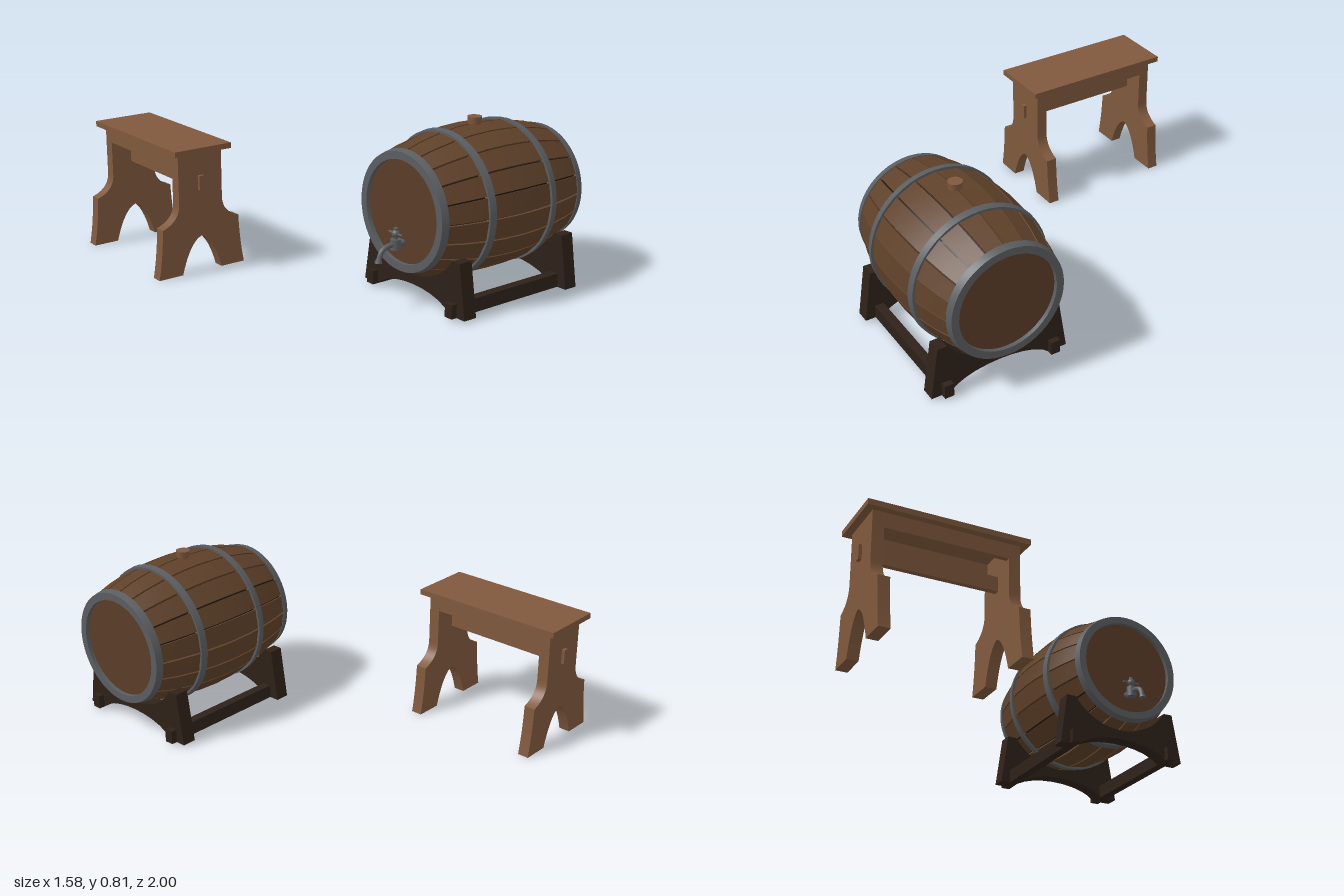
import * as THREE from 'three';
import { toCreasedNormals } from 'three/addons/utils/BufferGeometryUtils.js';

const mat = (color) => new THREE.MeshStandardMaterial({ color });
const benchWood = mat(0x80593d), staveWood = mat(0x5f4129), lidWood = mat(0x5a3d28);
const standWood = mat(0x2e2118), gapDark = mat(0x1c130d), iron = mat(0x5a5d60);

function add(parent, name, geometry, material, x = 0, y = 0, z = 0) {
  const mesh = new THREE.Mesh(geometry, material);
  mesh.name = name;
  mesh.position.set(x, y, z);
  parent.add(mesh);
  return mesh;
}

function group(parent, name, x, y, z) {
  const g = new THREE.Group();
  g.name = name;
  g.position.set(x, y, z);
  parent.add(g);
  return g;
}

// Board with the given outline, centred on its thickness
function board(shape, depth) {
  const g = new THREE.ExtrudeGeometry(shape, { depth, bevelEnabled: false, curveSegments: 10 });
  return toCreasedNormals(g.translate(0, 0, -depth / 2), 0.6);
}

// Solid of revolution around the x axis
function turned(points, segments = 48) {
  const g = new THREE.LatheGeometry(points.map(([r, x]) => new THREE.Vector2(r, x)), segments);
  return toCreasedNormals(g.rotateZ(-Math.PI / 2), 0.6);
}

function buildBench(root) {
  const bench = group(root, 'bench', -0.55, 0, -0.615);
  add(bench, 'benchSeat', new THREE.BoxGeometry(0.31, 0.027, 0.77), benchWood, 0, 0.612, 0);

  // Splayed end board with a pointed arch between the feet
  const s = new THREE.Shape();
  s.moveTo(0.11, 0);
  s.lineTo(0.24, 0);
  s.quadraticCurveTo(0.218, 0.11, 0.212, 0.245);
  s.quadraticCurveTo(0.12, 0.275, 0.12, 0.355);
  s.lineTo(0.12, 0.6);
  s.lineTo(-0.12, 0.6);
  s.lineTo(-0.12, 0.355);
  s.quadraticCurveTo(-0.12, 0.275, -0.212, 0.245);
  s.quadraticCurveTo(-0.218, 0.11, -0.24, 0);
  s.lineTo(-0.11, 0);
  s.quadraticCurveTo(-0.065, 0.16, 0, 0.18);
  s.quadraticCurveTo(0.065, 0.16, 0.11, 0);
  const legGeometry = board(s, 0.055);
  for (const side of [-1, 1]) {
    add(bench, 'benchLeg', legGeometry, benchWood, 0, 0, side * 0.322);
    add(bench, 'benchApron', new THREE.BoxGeometry(0.025, 0.075, 0.6), benchWood, side * 0.107, 0.5625, 0);
  }
  add(bench, 'benchStretcher', new THREE.BoxGeometry(0.026, 0.072, 0.73), benchWood, 0, 0.447, 0);
}

const HALF = 0.43;
const bulge = (x) => 0.27 + 0.07 * (1 - (x / HALF) ** 2);

// One curved stave at the top of the barrel, tapering towards the ends
function staveGeometry(count) {
  const g = new THREE.BoxGeometry(2 * HALF, 1, 1, 8, 1, 1);
  const p = g.attributes.position;
  for (let i = 0; i < p.count; i++) {
    const r = bulge(p.getX(i)) - (p.getY(i) > 0 ? 0 : 0.03);
    const halfWidth = r * Math.tan(Math.PI / count) - 0.004;
    p.setY(i, r);
    p.setZ(i, Math.sign(p.getZ(i)) * halfWidth);
  }
  return toCreasedNormals(g, 0.4);
}

function buildBarrel(root) {
  const barrel = group(root, 'barrel', 0.355, 0.44, 0.65);
  const count = 20;
  const stave = staveGeometry(count);
  for (let i = 0; i < count; i++) {
    add(barrel, 'stave', stave, staveWood).rotation.x = ((i + 0.5) / count) * Math.PI * 2;
  }

  // Dark lining seen through the gaps between staves
  const lining = [];
  for (let i = 0; i <= 8; i++) {
    const x = -0.405 + i * 0.10125;
    lining.push([bulge(x) - 0.012, x]);
  }
  add(barrel, 'barrelLining', turned(lining, 40), gapDark);

  for (const side of [-1, 1]) {
    const lid = new THREE.CylinderGeometry(0.25, 0.25, 0.02, 48).rotateZ(Math.PI / 2);
    add(barrel, 'barrelLid', lid, lidWood, side * 0.405, 0, 0);

    // Hoops: one wrapping the rim, one around the belly
    const rim = turned([[0.24, 0.4], [0.284, 0.4], [0.276, 0.435], [0.24, 0.435], [0.24, 0.4]]);
    add(barrel, 'rimHoop', rim, iron).rotation.y = side > 0 ? 0 : Math.PI;
    const belly = turned([[0.31, 0.172], [bulge(0.172) + 0.012, 0.172],
      [bulge(0.206) + 0.012, 0.206], [0.31, 0.206], [0.31, 0.172]]);
    add(barrel, 'bellyHoop', belly, iron).rotation.y = side > 0 ? 0 : Math.PI;
  }
  add(barrel, 'bung', new THREE.CylinderGeometry(0.034, 0.028, 0.05, 20), benchWood, 0, 0.35, 0);
}

function buildStand(root) {
  const stand = group(root, 'barrelStand', 0.355, 0, 0.65);

  // Cradle board: barrel seat cut from the top, shallow arch from the bottom
  const s = new THREE.Shape();
  const r = 0.312, a = Math.asin(0.175 / r);
  s.moveTo(0.25, 0.01);
  s.lineTo(0.345, 0.01);
  s.lineTo(0.305, 0.265);
  s.absarc(0, 0.44, r, -a, -Math.PI + a, true);
  s.lineTo(-0.305, 0.265);
  s.lineTo(-0.345, 0.01);
  s.lineTo(-0.25, 0.01);
  s.bezierCurveTo(-0.16, 0.105, 0.16, 0.105, 0.25, 0.01);
  const cradle = board(s, 0.07).rotateY(Math.PI / 2);
  for (const side of [-1, 1]) {
    add(stand, 'cradle', cradle, standWood, side * 0.318, 0, 0);
    add(stand, 'standRail', new THREE.BoxGeometry(0.765, 0.066, 0.045), standWood, 0, 0.043, side * 0.272);
  }
}

function buildTap(root) {
  const tap = group(root, 'tap', -0.105, 0.295, 0.65);
  const pipe = new THREE.CylinderGeometry(0.015, 0.015, 0.1, 16).rotateZ(Math.PI / 2);
  add(tap, 'tapPipe', pipe, iron, 0.045, 0, 0);
  add(tap, 'tapBody', new THREE.CylinderGeometry(0.024, 0.024, 0.05, 20), iron);
  add(tap, 'tapStem', new THREE.CylinderGeometry(0.01, 0.01, 0.07, 12), iron, 0, 0.042, 0);
  add(tap, 'tapKnob', new THREE.SphereGeometry(0.019, 20, 12), iron, 0, 0.05, 0);
  add(tap, 'tapCap', new THREE.CylinderGeometry(0.007, 0.007, 0.02, 12), iron, 0, 0.068, 0);
  const handle = new THREE.CylinderGeometry(0.005, 0.005, 0.09, 10).rotateX(Math.PI / 2);
  add(tap, 'tapHandle', handle, iron, 0, 0.05, 0);

  // Spout bending down to a flared mouth
  const path = new THREE.CatmullRomCurve3([[-0.01, 0], [-0.045, -0.001], [-0.08, -0.018], [-0.096, -0.055]]
    .map(([x, y]) => new THREE.Vector3(x, y, 0)));
  add(tap, 'tapSpout', new THREE.TubeGeometry(path, 16, 0.012, 14), iron);
  add(tap, 'tapMouth', new THREE.CylinderGeometry(0.013, 0.018, 0.014, 16), iron, -0.098, -0.06, 0);
}

export function createModel() {
  const root = new THREE.Group();
  root.name = 'barrelAndBench';
  buildBench(root);
  buildBarrel(root);
  buildStand(root);
  buildTap(root);
  return root;
}
